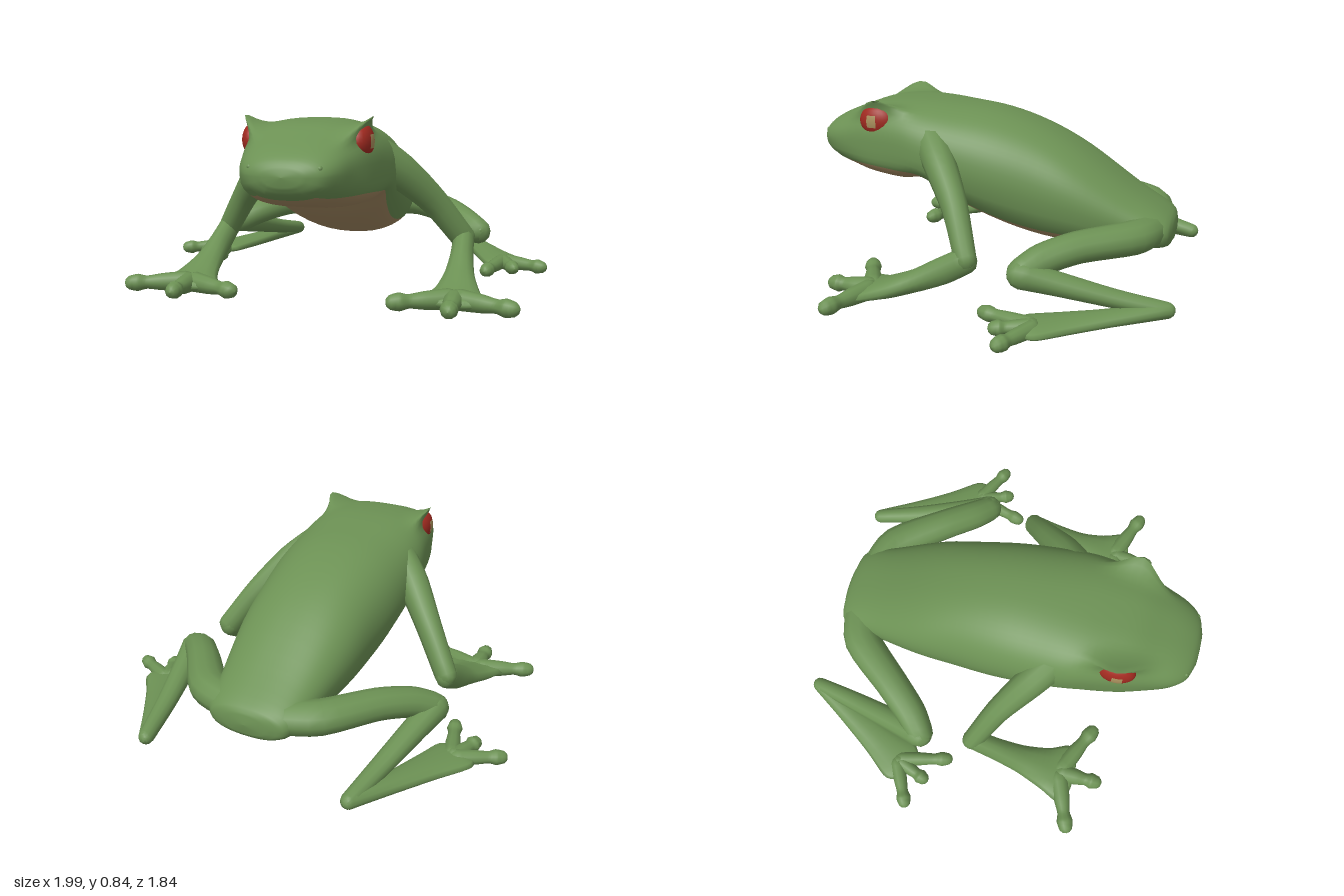
import * as THREE from 'three';

const mat = (name, color) => {
  const m = new THREE.MeshStandardMaterial({ color });
  m.name = name;
  return m;
};
const V = (x, y, z) => new THREE.Vector3(x, y, z);

// Skin over a row of closed rings; isSecond(i, j) picks the second material
function skin(rings, isSecond = () => false) {
  const n = rings[0].length, first = [], second = [];
  for (let i = 0; i < rings.length - 1; i++) {
    for (let j = 0; j < n; j++) {
      const k = (j + 1) % n, a = i * n + j, b = i * n + k;
      (isSecond(i, j) ? second : first).push(a, b, a + n, b, b + n, a + n);
    }
  }
  const g = new THREE.BufferGeometry().setFromPoints(rings.flat());
  g.setIndex([...first, ...second]);
  g.addGroup(0, first.length, 0);
  if (second.length) g.addGroup(first.length, second.length, 1);
  g.computeVertexNormals();
  return g;
}

// Rounded limb through points [x, y, z, half width, half height]
function limb(pts, s, sides = 12) {
  const path = new THREE.CatmullRomCurve3(pts.map(p => V(p[0] * s, p[1], p[2])), false, 'catmullrom', 0.4);
  const size = new THREE.CatmullRomCurve3(pts.map(p => V(p[3], p[4], 0)), false, 'catmullrom', 0.4);
  const rings = [];
  const ring = (u, capAngle = 0) => {
    const c = path.getPoint(u), t = path.getTangent(u), r = size.getPoint(u);
    const side = V(0, 1, 0).cross(t).normalize(), up = t.clone().cross(side);
    c.addScaledVector(t, Math.sin(capAngle) * Math.min(r.x, r.y));
    const k = Math.max(Math.cos(capAngle), 0.001);
    rings.push(Array.from({ length: sides }, (_, j) => {
      const a = j / sides * Math.PI * 2;
      return c.clone().addScaledVector(side, Math.cos(a) * r.x * k).addScaledVector(up, Math.sin(a) * r.y * k);
    }));
  };
  const steps = (pts.length - 1) * 4, caps = [1, 2 / 3, 1 / 3];
  caps.forEach(f => ring(0, -f * Math.PI / 2));
  for (let i = 0; i <= steps; i++) ring(i / steps);
  caps.reverse().forEach(f => ring(1, f * Math.PI / 2));
  return skin(rings);
}

// Body and head: z, half width, top, widest height, bottom, belly seam, squareness
const STATIONS = [
  [-0.845, 0.10, 0.32, 0.27, 0.23, 0.24, 2.2],
  [-0.81, 0.20, 0.36, 0.28, 0.20, 0.22, 2.3],
  [-0.65, 0.24, 0.46, 0.32, 0.18, 0.23, 2.3],
  [-0.40, 0.29, 0.63, 0.40, 0.18, 0.26, 2.3],
  [-0.20, 0.31, 0.73, 0.45, 0.205, 0.28, 2.3],
  [0.00, 0.33, 0.79, 0.50, 0.265, 0.33, 2.3],
  [0.20, 0.335, 0.815, 0.55, 0.36, 0.42, 2.4],
  [0.33, 0.33, 0.825, 0.58, 0.45, 0.50, 2.6],
  [0.45, 0.31, 0.825, 0.60, 0.44, 0.515, 2.9],
  [0.60, 0.28, 0.81, 0.60, 0.455, 0.525, 3],
  [0.72, 0.245, 0.77, 0.61, 0.48, 0.525, 2.8],
  [0.82, 0.21, 0.73, 0.62, 0.505, 0.53, 2.5],
  [0.885, 0.16, 0.69, 0.62, 0.54, 0.55, 2.3],
  [0.915, 0.08, 0.65, 0.62, 0.58, 0.59, 2.2],
];

function bodyGeometry() {
  const spline = (a, b, c) => new THREE.CatmullRomCurve3(
    STATIONS.map(p => V(p[a], p[b], p[c])), false, 'catmullrom', 0.5);
  const outer = spline(0, 1, 2), inner = spline(3, 4, 5), square = spline(0, 0, 6);
  const rings = [], zs = [], steps = (STATIONS.length - 1) * 4;
  const BELLY = 6, SIDE = 3, BACK = 16;
  for (let i = 0; i <= steps; i++) {
    const { x: z, y: w, z: top } = outer.getPoint(i / steps);
    const { x: mid, y: bottom, z: seam } = inner.getPoint(i / steps);
    const n = square.getPoint(i / steps).z;
    const seamAngle = -Math.asin(Math.min(1, ((mid - seam) / (mid - bottom)) ** (n / 2)));
    const angles = [];
    for (let j = 0; j < BELLY; j++) angles.push(THREE.MathUtils.lerp(-Math.PI / 2, seamAngle, j / BELLY));
    for (let j = 0; j < SIDE; j++) angles.push(seamAngle * (1 - j / SIDE));
    for (let j = 0; j <= BACK; j++) angles.push(j / BACK * Math.PI / 2);
    const half = angles.map(a => {
      const c = Math.max(Math.cos(a), 0) ** (2 / n), q = Math.abs(Math.sin(a)) ** (2 / n);
      const p = V(w * c, a < 0 ? mid - (mid - bottom) * q : mid + (top - mid) * q, z);
      // brow ridge above each eye
      const brow = Math.exp(-(((a - 0.86) / 0.17) ** 2) - ((z - 0.55) / 0.1) ** 2);
      p.x += (0.285 - p.x) * brow;
      p.y += (0.845 - p.y) * brow;
      return p;
    });
    const mirrored = half.slice(1, -1).reverse().map(p => V(-p.x, p.y, p.z));
    rings.push([...half, ...mirrored]);
    zs.push(z);
  }
  // close both ends to a point
  const closeEnd = (ring, z, y) => ring.map(p => V(p.x * 0.001, y, z));
  rings.unshift(closeEnd(rings[0], -0.85, 0.275));
  rings.push(closeEnd(rings[rings.length - 1], 0.92, 0.62));
  zs.unshift(-0.85);
  const count = rings[0].length;
  return skin(rings, (i, j) => zs[i] > -0.74 && zs[i] < 0.84 && (j < BELLY || j >= count - BELLY));
}

export function createModel() {
  const green = mat('skin green', 0x6c9154);
  const brown = mat('belly brown', 0xa0865f);
  const red = mat('eye red', 0xa02a20);
  const tan = mat('pupil tan', 0xa88f5c);
  const model = new THREE.Group();
  model.name = 'frog';

  const add = (parent, name, geometry, material) => {
    const m = new THREE.Mesh(geometry, material);
    m.name = name;
    parent.add(m);
    return m;
  };
  add(model, 'body', bodyGeometry(), [green, brown]);

  for (const [side, s] of [['left', 1], ['right', -1]]) {
    // Eye set into the head under the brow, with its pupil, and a nostril bump
    const eye = new THREE.Group();
    eye.name = side + 'Eye';
    eye.position.set(0.235 * s, 0.738, 0.56);
    eye.scale.set(0.58, 0.85, 1);
    model.add(eye);
    add(eye, 'eyeball', new THREE.SphereGeometry(0.092, 24, 16), red);
    const facing = s > 0 ? Math.PI - 0.15 : 0.15;
    add(eye, 'pupil', new THREE.SphereGeometry(0.094, 6, 6, facing - 0.27, 0.54, 1.15, 0.75), tan);
    add(model, side + 'Nostril', new THREE.SphereGeometry(0.012, 8, 6), green).position.set(0.145 * s, 0.655, 0.876);

    // Front leg: upper arm, forearm widening into a webbed hand, fingers
    const front = new THREE.Group();
    front.name = side + 'FrontLeg';
    model.add(front);
    add(front, 'upperArm', limb([
      [0.22, 0.66, 0.30, 0.08, 0.10], [0.34, 0.57, 0.20, 0.075, 0.085],
      [0.475, 0.42, 0.08, 0.06, 0.068], [0.605, 0.235, -0.015, 0.05, 0.06]], s), green);
    add(front, 'forearm', limb([
      [0.605, 0.235, -0.015, 0.05, 0.06], [0.61, 0.17, 0.10, 0.055, 0.062], [0.615, 0.11, 0.23, 0.07, 0.05],
      [0.62, 0.065, 0.36, 0.105, 0.042], [0.62, 0.05, 0.45, 0.145, 0.03], [0.62, 0.045, 0.49, 0.12, 0.024]], s), green);
    for (const [x, z] of [[0.375, 0.55], [0.62, 0.62], [0.87, 0.53]]) {
      const at = (f, r) => [0.62 + (x - 0.62) * f, 0.052, 0.43 + (z - 0.43) * f, r, r];
      add(front, 'finger', limb([at(0.1, 0.048), at(0.5, 0.04), at(0.75, 0.031), at(0.9, 0.04), at(1, 0.036)], s, 10), green);
    }

    // Hind leg: thigh, shin folded back, long webbed foot, toes
    const hind = new THREE.Group();
    hind.name = side + 'HindLeg';
    model.add(hind);
    add(hind, 'thigh', limb([
      [0.12, 0.29, -0.745, 0.085, 0.075], [0.28, 0.30, -0.685, 0.09, 0.075],
      [0.45, 0.295, -0.48, 0.08, 0.07], [0.56, 0.265, -0.35, 0.075, 0.068], [0.64, 0.225, -0.28, 0.065, 0.066]], s), green);
    add(hind, 'shin', limb([
      [0.65, 0.222, -0.28, 0.062, 0.064], [0.612, 0.185, -0.42, 0.058, 0.053],
      [0.555, 0.125, -0.66, 0.048, 0.04], [0.508, 0.08, -0.88, 0.036, 0.036]], s), green);
    add(hind, 'foot', limb([
      [0.508, 0.08, -0.88, 0.036, 0.036], [0.60, 0.067, -0.70, 0.055, 0.034], [0.70, 0.055, -0.50, 0.085, 0.032],
      [0.77, 0.05, -0.37, 0.11, 0.028], [0.79, 0.048, -0.33, 0.095, 0.022]], s), green);
    for (const [x, z] of [[0.965, -0.28], [0.83, -0.225], [0.705, -0.135]]) {
      const at = (f, r) => [0.77 + (x - 0.77) * f, 0.052, -0.38 + (z + 0.38) * f, r, r];
      add(hind, 'toe', limb([at(0.1, 0.038), at(0.5, 0.033), at(0.76, 0.028), at(0.9, 0.036), at(1, 0.032)], s, 10), green);
    }
  }
  return model;
}
